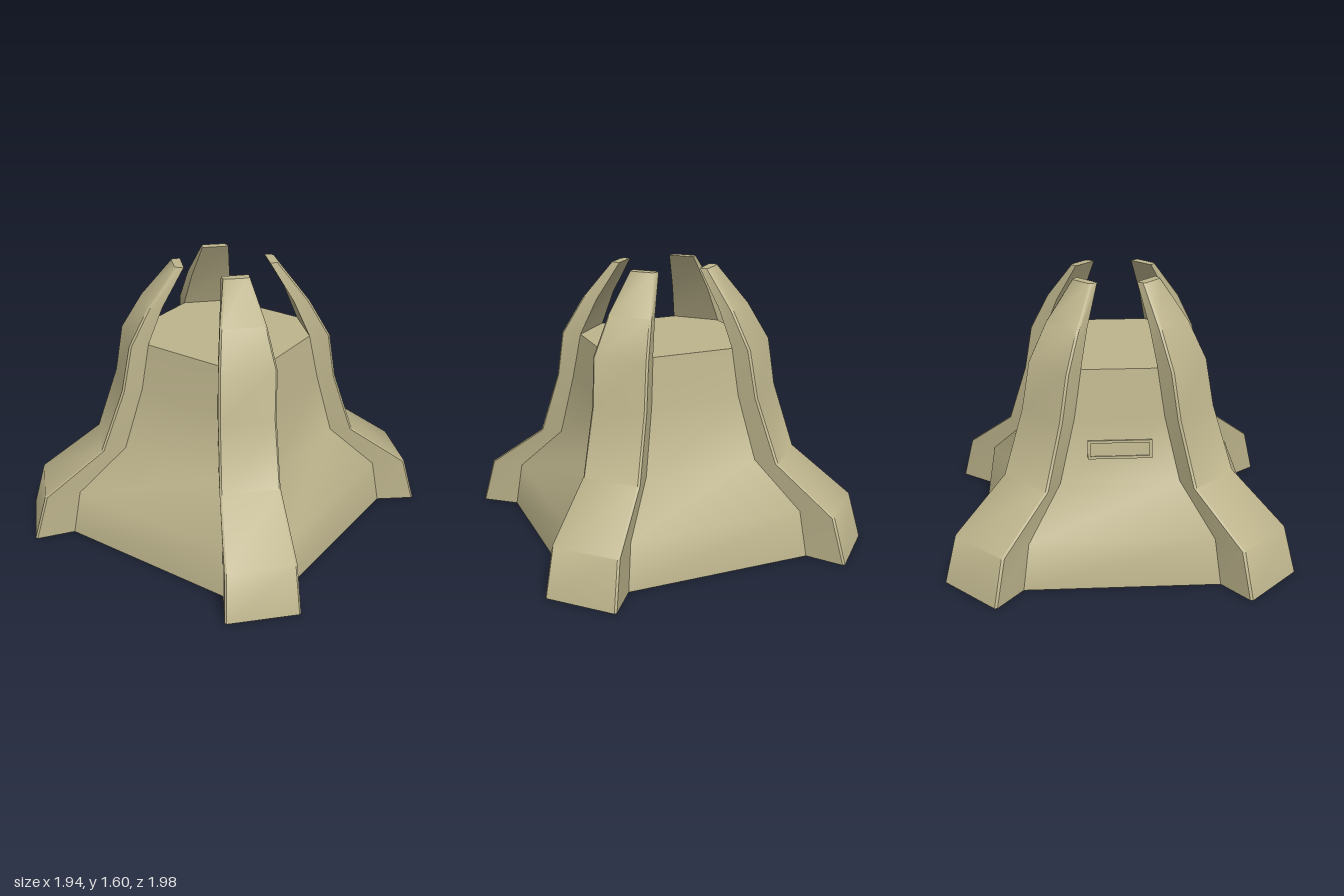
import * as THREE from 'three';
import { toCreasedNormals } from 'three/addons/utils/BufferGeometryUtils.js';

const material = new THREE.MeshStandardMaterial({ color: 0xbdb48c, side: THREE.DoubleSide });

// One row per height: outer fin edges (xo, xi, zo, zi), then the fin's
// inner edges (qx, qz), which lie on the wall planes (bx, bz).
const keys = ['y', 'xo', 'xi', 'zo', 'zi', 'qx', 'qz', 'bx', 'bz'];
const levels = [
  [0, 0.98, 0.685, 1.0, 0.695, 0.545, 0.55, 0.8, 0.81],
  [0.27, 0.92, 0.64, 0.935, 0.65, 0.515, 0.515, 0.765, 0.77],
  [0.53, 0.66, 0.42, 0.66, 0.41, 0.335, 0.335, 0.55, 0.545],
  [0.9, 0.57, 0.335, 0.55, 0.325, 0.265, 0.25, 0.49, 0.455],
  [1.17, 0.545, 0.305, 0.505, 0.285, 0.24, 0.21, 0.45, 0.415],
  [1.38, 0.435, 0.245, 0.405, 0.225, 0.195, 0.17, 0.36, 0.335],
  [1.6, 0.27, 0.165, 0.25, 0.15, 0.125, 0.11, 0.235, 0.22],
].map((row) => Object.fromEntries(row.map((v, i) => [keys[i], v])));
const wallLevels = levels.slice(0, 5);
const plate = levels[4];

function addMesh(parent, name, geometry) {
  const mesh = new THREE.Mesh(geometry, material);
  mesh.name = name;
  parent.add(mesh);
  return mesh;
}

// Skin a stack of open cross-sections with quads
function loft(rings) {
  const pos = [];
  for (let i = 0; i < rings.length - 1; i++) {
    for (let j = 0; j < rings[i].length - 1; j++) {
      const a = rings[i][j], b = rings[i][j + 1];
      const c = rings[i + 1][j + 1], d = rings[i + 1][j];
      for (const p of [a, b, c, a, c, d]) pos.push(p.x, p.y, p.z);
    }
  }
  const geometry = new THREE.BufferGeometry();
  geometry.setAttribute('position', new THREE.Float32BufferAttribute(pos, 3));
  return toCreasedNormals(geometry, 0.7);
}

// Fin section from the front wall, round the outside, to the side wall
function finSection(l) {
  const v = (x, z) => new THREE.Vector3(x, l.y, z);
  const q2 = v(l.qx, l.bz), p2 = v(l.xi, l.zo), p1 = v(l.xo, l.zi), q1 = v(l.bx, l.qz);
  const width = p1.distanceTo(p2), c = 0.012;
  return [
    q2,
    p2.clone().lerp(q2, c / p2.distanceTo(q2)),
    p2.clone().lerp(p1, c / width),
    p1.clone().lerp(p2, c / width),
    p1.clone().lerp(q1, c / p1.distanceTo(q1)),
    q1,
  ];
}

function createFin(name, sx, sz) {
  const fin = new THREE.Group();
  fin.name = name;
  const mirror = (rings) => rings.map((ring) => {
    const out = ring.map((p) => new THREE.Vector3(p.x * sx, p.y, p.z * sz));
    return sx * sz < 0 ? out.reverse() : out;
  });
  const sections = levels.map(finSection);
  addMesh(fin, 'finShell', loft(mirror(sections)));

  // Inner face, only above the roof plate
  addMesh(fin, 'finInnerFace', loft(mirror(sections.slice(4).map((s) => [s[5], s[0]]))));

  // Cap on the tip
  const t = sections[6];
  addMesh(fin, 'finCap', loft(mirror([[t[2], t[3]], [t[1], t[4]], [t[0], t[5]]])));
  return fin;
}

export function createModel() {
  const group = new THREE.Group();
  group.name = 'flaredShelter';

  // Four walls between the fins
  const V = (x, y, z) => new THREE.Vector3(x, y, z);
  for (const s of [1, -1]) {
    addMesh(group, s > 0 ? 'frontWall' : 'backWall', loft(wallLevels.map((l) =>
      [V(-s * l.qx, l.y, s * l.bz), V(s * l.qx, l.y, s * l.bz)])));
    addMesh(group, s > 0 ? 'leftWall' : 'rightWall', loft(wallLevels.map((l) =>
      [V(s * l.bx, l.y, s * l.qz), V(s * l.bx, l.y, -s * l.qz)])));
  }

  // Eight-sided roof plate
  const { qx, qz, bx, bz } = plate;
  const outline = [[qx, bz], [bx, qz], [bx, -qz], [qx, -bz], [-qx, -bz], [-bx, -qz], [-bx, qz], [-qx, bz]];
  const roof = new THREE.ShapeGeometry(new THREE.Shape(outline.map(([x, z]) => new THREE.Vector2(x, -z))));
  roof.rotateX(-Math.PI / 2).translate(0, plate.y, 0);
  addMesh(group, 'roofPlate', roof);

  // Corner fins
  group.add(
    createFin('frontLeftFin', 1, 1), createFin('frontRightFin', -1, 1),
    createFin('backLeftFin', 1, -1), createFin('backRightFin', -1, -1),
  );

  // Small framed slot on the right wall, leaning with it
  const slot = new THREE.Group();
  slot.name = 'wallSlot';
  for (const s of [1, -1]) {
    addMesh(slot, 'slotRail', new THREE.BoxGeometry(0.025, 0.015, 0.36)).position.y = s * 0.045;
    addMesh(slot, 'slotEnd', new THREE.BoxGeometry(0.025, 0.075, 0.015)).position.z = s * 0.1725;
  }
  addMesh(slot, 'slotPanel', new THREE.BoxGeometry(0.008, 0.075, 0.33));
  slot.position.set(-0.519, 0.72, 0);
  slot.rotation.z = -Math.atan2(0.06, 0.37);
  group.add(slot);

  return group;
}
